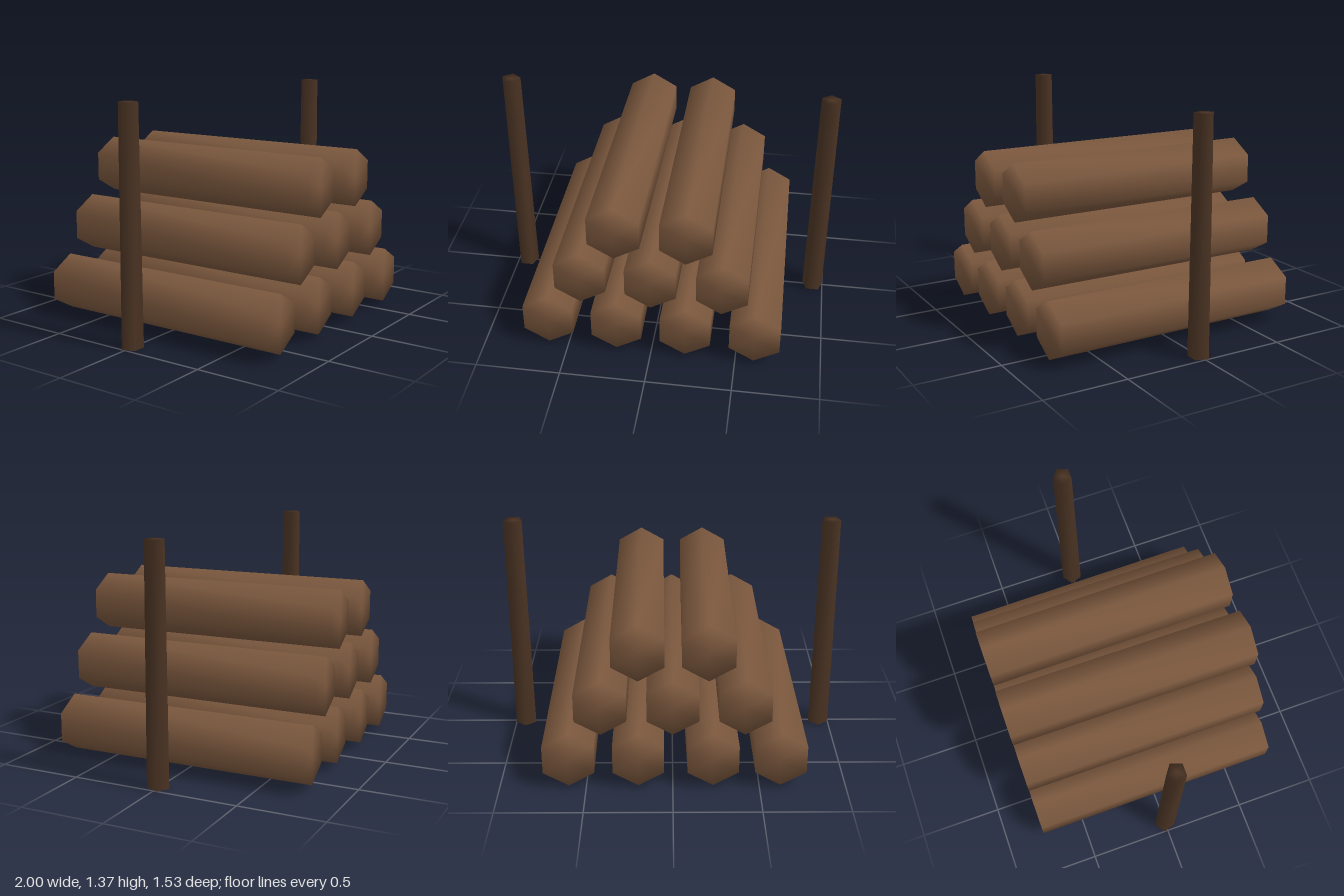
import * as THREE from 'three';
import { mergeVertices } from 'three/addons/utils/BufferGeometryUtils.js';

// Few-sided cylinder with corners shared between sides and caps, for soft shading
function softCylinder(rTop, rBottom, length, sides) {
  const g = new THREE.CylinderGeometry(rTop, rBottom, length, sides);
  g.deleteAttribute('normal');
  g.deleteAttribute('uv');
  const merged = mergeVertices(g, 1e-4);
  merged.computeVertexNormals();
  return merged;
}

export function createModel() {
  const model = new THREE.Group();
  model.name = 'logPile';

  const logWood = new THREE.MeshStandardMaterial({ color: 0x7a573d });
  logWood.name = 'logWood';
  const darkWood = new THREE.MeshStandardMaterial({ color: 0x4a3323 });
  darkWood.name = 'darkWood';

  // Stacked logs: [x at front end, x at back end] for each row
  const rows = [
    { y: 0.19, logs: [[-0.612, -0.62], [-0.205, -0.232], [0.202, 0.198], [0.608, 0.598]] },
    { y: 0.53, logs: [[-0.408, -0.408], [0, 0], [0.41, 0.408]] },
    { y: 0.87, logs: [[-0.204, -0.198], [0.202, 0.193]] },
  ];
  const logLength = 1.53;
  const logGeometry = softCylinder(0.17, 0.17, logLength, 6);
  logGeometry.rotateX(Math.PI / 2);
  rows.forEach(({ y, logs }, r) => {
    logs.forEach(([front, back], i) => {
      const log = new THREE.Mesh(logGeometry, logWood);
      log.name = `logRow${r + 1}Number${i + 1}`;
      log.position.set((front + back) / 2, y, 0);
      log.rotation.y = Math.atan2(front - back, logLength);
      model.add(log);
    });
  });

  // Upright five-sided posts, slightly tapered, with a corner to the back
  const postGeometry = softCylinder(0.058, 0.0657, 1.365, 5);
  postGeometry.rotateY(Math.PI);
  for (const side of [-1, 1]) {
    const post = new THREE.Mesh(postGeometry, darkWood);
    post.name = side > 0 ? 'leftPost' : 'rightPost';
    post.position.set(side * 0.9375, 1.365 / 2, 0);
    model.add(post);
  }
  return model;
}
